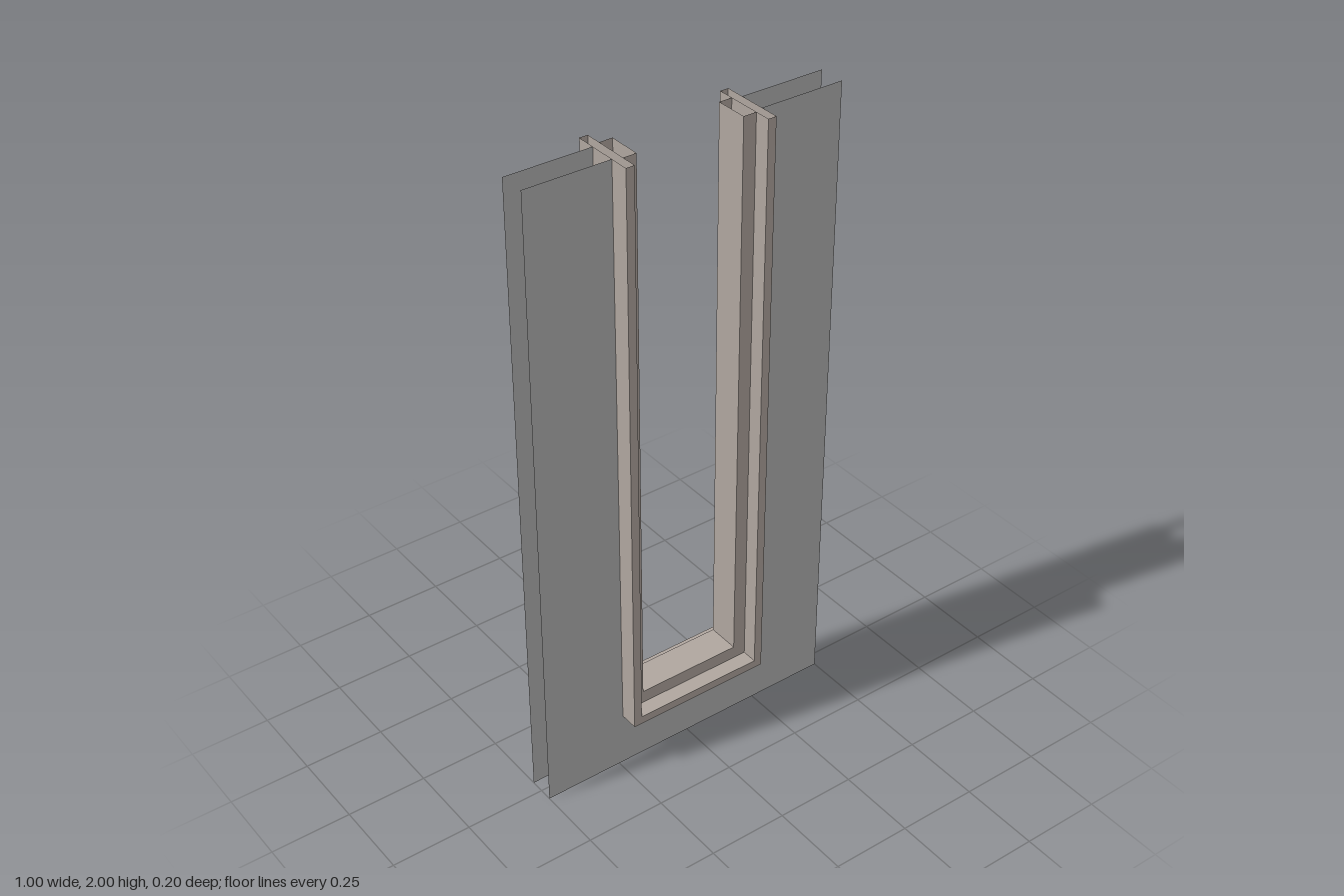
import * as THREE from 'three';

const TOP = 2;
const OUTER = 0.234, MID = 0.208, INNER = 0.167; // half widths of the frame steps
const sillY = (d) => 0.412 - d;                  // sill height for a half width

// U-shaped path down one jamb, across the sill and up the other
const uPath = (d) => [[-d, TOP], [-d, sillY(d)], [d, sillY(d)], [d, TOP]];

// Sweep a profile of [halfWidth, z] points along the U with mitred corners
function sweepU(profile, closed) {
  const pos = [];
  const count = closed ? profile.length : profile.length - 1;
  for (let j = 0; j < count; j++) {
    const [d0, z0] = profile[j];
    const [d1, z1] = profile[(j + 1) % profile.length];
    const p = uPath(d0), q = uPath(d1);
    for (let i = 0; i < 3; i++) {
      const a = [...p[i], z0], b = [...p[i + 1], z0];
      const c = [...q[i + 1], z1], e = [...q[i], z1];
      pos.push(...a, ...b, ...c, ...a, ...c, ...e);
    }
  }
  const geo = new THREE.BufferGeometry();
  geo.setAttribute('position', new THREE.Float32BufferAttribute(pos, 3));
  geo.computeVertexNormals();
  return geo;
}

export function createModel() {
  const group = new THREE.Group();
  group.name = 'doorwayWall';

  const wallGrey = new THREE.MeshStandardMaterial({ color: 0xb2b2b2, side: THREE.DoubleSide });
  wallGrey.name = 'wallGrey';
  const frameTaupe = new THREE.MeshStandardMaterial({ color: 0xb0a69f, side: THREE.DoubleSide });
  frameTaupe.name = 'frameTaupe';

  const add = (name, geo, mat) => {
    const mesh = new THREE.Mesh(geo, mat);
    mesh.name = name;
    group.add(mesh);
    return mesh;
  };

  // Two thin wall sheets with an opening that runs out through the top
  const wall = new THREE.Shape(
    [[-0.5, TOP], [-0.5, 0], [0.5, 0], [0.5, TOP], ...uPath(OUTER).reverse()]
      .map(([x, y]) => new THREE.Vector2(x, y))
  );
  const wallGeo = new THREE.ShapeGeometry(wall);
  add('wallFront', wallGeo, wallGrey).position.z = 0.041;
  const back = add('wallBack', wallGeo, wallGrey);
  back.position.z = -0.041;
  back.rotation.y = Math.PI;

  // Hollow casing lining the opening
  add('frameCasing', sweepU([[OUTER, -0.1], [OUTER, 0.1], [MID, 0.1], [MID, -0.1]], true), frameTaupe);

  // Raised stop along the middle of the casing
  add('frameStop', sweepU([[MID, 0.051], [INNER, 0.051], [INNER, -0.051], [MID, -0.051]], false), frameTaupe);

  return group;
}
